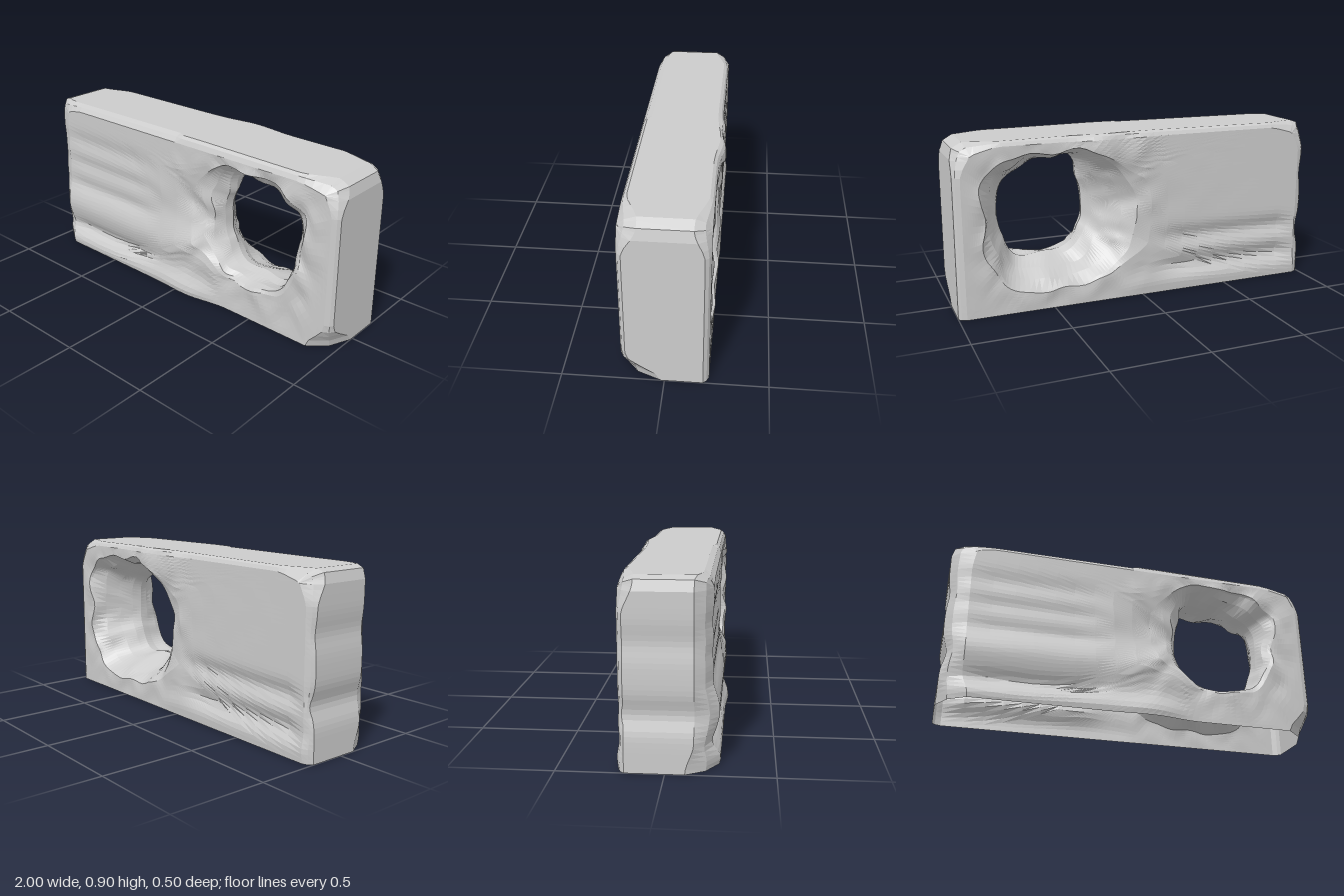
import * as THREE from 'three';

const CX = 0.49, CY = 0.49;                 // centre of the opening
// opening radii, one every 30 degrees counter-clockwise from +x
const WAIST = [0.24, 0.25, 0.24, 0.26, 0.31, 0.24, 0.23, 0.24, 0.28, 0.26, 0.3, 0.25];
const FRONT = [0.3, 0.35, 0.34, 0.32, 0.37, 0.37, 0.31, 0.32, 0.31, 0.29, 0.32, 0.29];
const BACK = [0.35, 0.41, 0.37, 0.32, 0.37, 0.42, 0.46, 0.46, 0.42, 0.38, 0.41, 0.39];
const STEPS = [0, 0.08, 0.18, 0.28, 0.38, 0.48, 0.58, 0.68, 0.78, 0.89, 1];
const RIM = 3 + STEPS.length;               // first rim point of a section

const bump = (v, c, w) => Math.exp(-(((v - c) / w) ** 2));
const { smoothstep: smooth, lerp: mix, clamp } = THREE.MathUtils;
// Coherent roughness of worn stone
const wave = (x, y, z) => 0.6 * Math.sin(19 * x + 2 * Math.sin(13 * y) + 9 * z)
  + 0.4 * Math.sin(31 * y + 2 * Math.sin(23 * x) - 14 * z);

function radiusAt(table, angle) {
  const u = (angle / (Math.PI * 2) + 1) % 1 * 12;
  const k = Math.floor(u) % 12;
  return mix(table[k], table[(k + 1) % 12], smooth(u - Math.floor(u), 0, 1));
}

// Outline of the slab, counter-clockwise from the front: x, y, pieces up to the next corner
function outline() {
  const corners = [
    [1, 0, 20], [0.995, 0.81, 3], [0.98, 0.865, 3], [0.93, 0.893, 18], [0.15, 0.9, 26],
    [-0.94, 0.895, 3], [-0.985, 0.88, 3], [-1, 0.83, 34], [-1, 0, 54],
  ];
  return corners.flatMap(([x, y, n], c) => {
    const next = corners[(c + 1) % corners.length];
    return Array.from({ length: n }, (_, k) => {
      const py = mix(y, next[1], k / n);
      // worn notches in the left end
      const notch = x === -1 && y > 0 ? 0.025 * bump(py, 0.27, 0.07) + 0.012 * bump(py, 0.6, 0.07) : 0;
      return { x: mix(x, next[0], k / n) + notch, y: py };
    });
  });
}

// Worn horizontal grooves and swellings on the two broad faces
function frontZ(x, y) {
  const grooves = smooth(x, -0.97, -0.82) * (1 - smooth(x, -0.35, -0.1));
  const low = 1 - smooth(x, 0.1, 0.35);
  return 0.212 + low * (0.03 * bump(y, 0.27, 0.1) + 0.035 * bump(y, 0.03, 0.07))
    + 0.012 * bump(x, 0.05, 0.12) * bump(y, 0.04, 0.08)
    - grooves * (0.025 * bump(y, 0.12, 0.04) + 0.012 * bump(y, 0.4, 0.04)
      + 0.01 * bump(y, 0.54, 0.04) + 0.012 * bump(y, 0.68, 0.05))
    - 0.03 * bump(x, 0.1, 0.12) * bump(y, 0.52, 0.13);
}
function backZ(x, y) {
  const grooves = smooth(x, -0.99, -0.85) * (1 - smooth(x, -0.25, 0));
  return -0.213 - 0.035 * bump(x, 0.24, 0.1) * bump(y, 0.79, 0.14)
    - 0.02 * bump(x, 0.02, 0.07) * bump(y, 0.82, 0.1)
    + grooves * (0.025 * bump(y, 0.3, 0.05) + 0.03 * bump(y, 0.14, 0.05))
    - 0.008 * (1 - smooth(x, 0, 0.2)) * bump(y, 0.06, 0.05);
}

// One section: waist, front funnel, front face, rim, back face, back funnel
function section(p) {
  const a = Math.atan2(p.y - CY, p.x - CX);
  const polar = r => [CX + Math.cos(a) * r, CY + Math.sin(a) * r];
  const pts = [];
  const add = (x, y, z, rough = 0) => pts.push([
    x + wave(y, z, x) * rough, Math.max(0, y + wave(z, x, y) * rough), z + wave(x, y, z) * rough,
  ]);
  const isLeft = p.x < 0;
  const foot = 1 - smooth(p.y, 0, 0.15);
  const top = smooth(Math.abs(p.x), 0.75, 0.96) * smooth(p.y, 0.72, 0.87);   // rounded upper corners

  // edges of the flat part of each face
  const fi = [
    clamp(p.x, -0.89 + 0.03 * foot + 0.02 * top, 0.96 - 0.1 * foot - 0.05 * top),
    Math.min(p.y, 0.86 - 0.03 * top),
  ];
  const bi = [clamp(p.x, -0.955 + 0.05 * top, 0.96 - 0.06 * top), Math.min(p.y, 0.87 - 0.04 * top)];
  const fd = Math.min(1, Math.hypot(p.x - fi[0], p.y - fi[1]) / 0.03);
  const bd = Math.min(1, Math.hypot(p.x - bi[0], p.y - bi[1]) / 0.03);
  const w = radiusAt(WAIST, a);
  const f = Math.min(radiusAt(FRONT, a), Math.hypot(fi[0] - CX, fi[1] - CY) - 0.03);
  const b = Math.min(radiusAt(BACK, a), Math.hypot(bi[0] - CX, bi[1] - CY) - 0.03);
  const fm = polar(f), bm = polar(b);

  // rows bend level towards the left end
  const level = 0.8 * smooth(-p.x, 0, 0.9);
  const face = (t, from, to, depth, rough, lip) => {
    const x = mix(from[0], to[0], t);
    const y = mix(from[1], to[1], mix(t, 1 - (1 - t) ** 2, level));
    const near = 1 - smooth(Math.hypot(x - CX, y - CY), 0.3, 0.8);
    add(x, y, depth(x, y) + (t === 0 ? lip : 0), (0.001 + rough * near) * (1 - t));
  };

  // inner and front funnel
  add(...polar(w), 0.06, 0.004);
  add(...polar(w + 0.01), 0.11, 0.006);
  add(...polar(mix(w, f, 0.55)), 0.165, 0.012);
  STEPS.forEach(t => face(t, fm, fi, frontZ, 0.014, -0.012));
  // rim
  const fz = frontZ(...fi), bz = backZ(...bi);
  const edge = isLeft ? 0.165 - 0.035 * smooth(-p.x, 0.85, 1) - 0.04 * foot : 0.185 - 0.17 * foot - 0.07 * top;
  const backEdge = -0.185 + 0.05 * top - 0.025 * bump(p.x, 0.2, 0.15);
  add(mix(fi[0], p.x, 0.65), mix(fi[1], p.y, 0.65), mix(fz, mix(fz, edge, 0.4), fd));
  add(p.x, p.y, mix(fz, edge, fd));
  add(p.x, p.y, mix(0, -0.01, fd));
  add(p.x, p.y, mix(bz, backEdge, bd));
  add(mix(bi[0], p.x, 0.65), mix(bi[1], p.y, 0.65), mix(bz, mix(bz, backEdge, 0.4), bd));
  // back face
  [...STEPS].reverse().forEach(t => face(t, bm, bi, backZ, 0.01, 0.015));
  // back funnel
  add(...polar(mix(w, b, 0.7)), -0.14, 0.012);
  add(...polar(mix(w, b, 0.4)), -0.06, 0.01);
  add(...polar(mix(w, b, 0.14)), 0.01, 0.006);
  return pts;
}

export function createModel() {
  const rim = outline();
  const sections = rim.map(section);
  const n = sections.length, m = sections[0].length;
  const index = [];
  for (let i = 0; i < n; i++) {
    const i2 = (i + 1) % n;
    const underside = rim[i].y === 0 && rim[i2].y === 0;
    for (let j = 0; j < m; j++) {
      // the hollow shell is open underneath
      if (underside && j >= RIM - 1 && j < RIM + 5) continue;
      const j2 = (j + 1) % m;
      const a = i * m + j, b = i * m + j2, c = i2 * m + j2, d = i2 * m + j;
      index.push(a, b, d, b, c, d);
    }
  }
  const indexed = new THREE.BufferGeometry();
  indexed.setAttribute('position', new THREE.Float32BufferAttribute(sections.flat(2), 3));
  indexed.setIndex(index);
  const geometry = indexed.toNonIndexed();
  geometry.computeVertexNormals();

  const slab = new THREE.Mesh(geometry, new THREE.MeshStandardMaterial({
    color: 0xcccccc, flatShading: true, side: THREE.DoubleSide,
  }));
  slab.name = 'piercedStoneSlab';
  const group = new THREE.Group();
  group.name = 'stoneBlock';
  group.add(slab);
  return group;
}
